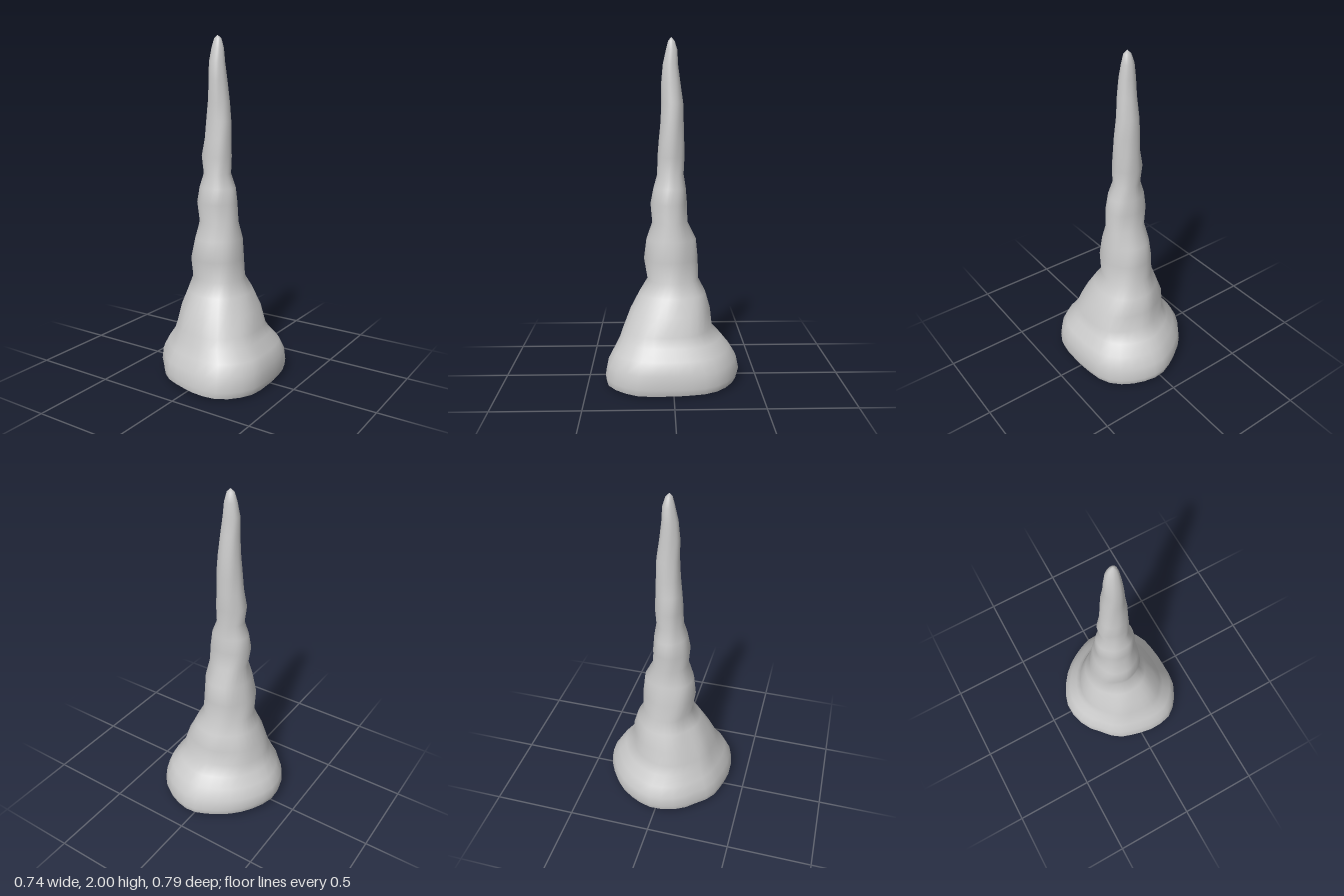
import * as THREE from 'three';

const SEG = 32;

// Cross-sections from the foot to the tip: [y, xMin, xMax, zMin, zMax]
const RINGS = [
  [0.01, -0.36, 0.355, -0.385, 0.395],
  [0.05, -0.37, 0.367, -0.395, 0.4],
  [0.13, -0.365, 0.36, -0.38, 0.385],
  [0.2, -0.33, 0.335, -0.34, 0.35],
  [0.26, -0.285, 0.285, -0.29, 0.318],
  [0.32, -0.26, 0.268, -0.235, 0.297],
  [0.42, -0.24, 0.233, -0.225, 0.255],
  [0.52, -0.2, 0.185, -0.195, 0.2],
  [0.6, -0.172, 0.143, -0.152, 0.15],
  [0.72, -0.17, 0.14, -0.15, 0.17],
  [0.84, -0.145, 0.128, -0.138, 0.155],
  [0.94, -0.126, 0.11, -0.088, 0.12],
  [1.05, -0.14, 0.105, -0.085, 0.13],
  [1.14, -0.127, 0.092, -0.078, 0.112],
  [1.22, -0.1, 0.06, -0.065, 0.09],
  [1.32, -0.115, 0.066, -0.07, 0.088],
  [1.42, -0.095, 0.06, -0.068, 0.08],
  [1.52, -0.09, 0.058, -0.065, 0.07],
  [1.63, -0.08, 0.046, -0.062, 0.065],
  [1.75, -0.071, 0.035, -0.045, 0.065],
  [1.85, -0.07, 0.024, -0.032, 0.056],
  [1.93, -0.058, 0.014, -0.028, 0.038],
  [1.98, -0.042, 0.002, -0.012, 0.025],
];

// Uneven outline of the foot, as [x, z]
const FOOT = [
  [0.37, 0.05], [0.355, 0.22], [0.235, 0.37], [0.1, 0.397], [-0.02, 0.38],
  [-0.17, 0.33], [-0.24, 0.26], [-0.33, 0.155], [-0.37, 0], [-0.345, -0.11],
  [-0.25, -0.255], [-0.1, -0.36], [0.03, -0.4], [0.22, -0.34], [0.325, -0.235], [0.36, -0.1],
];

// One ring of points; the foot outline fades to a round section higher up
function makeRing([y, x0, x1, z0, z1], outline) {
  const round = THREE.MathUtils.smoothstep(y, 0.15, 0.6);
  const lump = 0.035 * THREE.MathUtils.smoothstep(y, 0.2, 0.4);
  const tilt = 0.03 * (1 - THREE.MathUtils.smoothstep(y, 0, 0.2));
  return outline.map((p) => {
    const a = Math.atan2(p.z, p.x);
    const r = THREE.MathUtils.lerp(p.length(), 1, round)
      * (1 + lump * Math.sin(3 * a + 9 * y) * Math.sin(2 * a) ** 2);
    const x = (x0 + x1) / 2 + (x1 - x0) / 2 * r * Math.cos(a);
    const z = (z0 + z1) / 2 + (z1 - z0) / 2 * r * Math.sin(a);
    return new THREE.Vector3(x, y + tilt * (0.5 - x / 0.74), z);
  });
}

function makeGeometry(points, index) {
  const g = new THREE.BufferGeometry().setFromPoints(points);
  g.setIndex(index);
  g.computeVertexNormals();
  return g;
}

export function createModel() {
  const group = new THREE.Group();
  group.name = 'stalagmite';
  const material = new THREE.MeshStandardMaterial({ color: 0xcccccc });

  const curve = new THREE.CatmullRomCurve3(
    FOOT.map(([x, z]) => new THREE.Vector3(x / 0.37, 0, z / 0.4)), true);
  const outline = curve.getSpacedPoints(SEG).slice(0, SEG);
  const rings = RINGS.map((r) => makeRing(r, outline));

  // Lumpy tapering spire, closed at the tip
  const points = rings.flat();
  const index = [];
  for (let i = 0; i < rings.length - 1; i++) {
    for (let j = 0; j < SEG; j++) {
      const a = i * SEG + j, b = i * SEG + (j + 1) % SEG;
      index.push(a, a + SEG, b, b, a + SEG, b + SEG);
    }
  }
  const tip = points.push(new THREE.Vector3(-0.02, 2, 0.008)) - 1;
  for (let j = 0; j < SEG; j++) index.push(tip - SEG + j, tip, tip - SEG + (j + 1) % SEG);
  const spire = new THREE.Mesh(makeGeometry(points, index), material);
  spire.name = 'spire';

  // Slightly bulged underside with a sharp rim
  const under = [...rings[0], new THREE.Vector3(0, 0, 0)];
  const underIndex = [];
  for (let j = 0; j < SEG; j++) underIndex.push(SEG, j, (j + 1) % SEG);
  const underside = new THREE.Mesh(makeGeometry(under, underIndex), material);
  underside.name = 'underside';

  group.add(spire, underside);
  return group;
}
